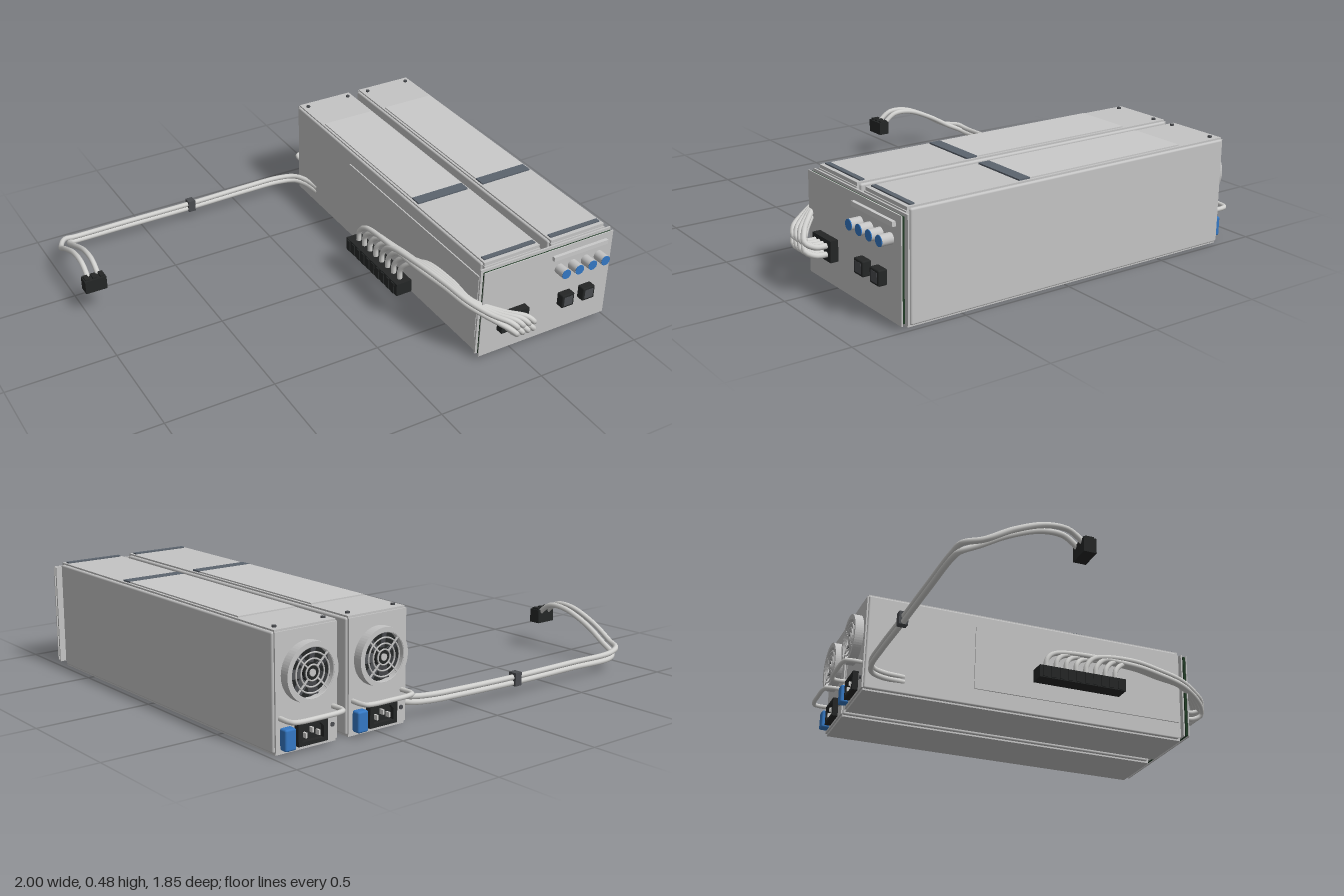
import * as THREE from 'three';
import { RoundedBoxGeometry } from 'three/addons/geometries/RoundedBoxGeometry.js';

const mat = (name, color) => Object.assign(new THREE.MeshStandardMaterial({ color }), { name });
const M = {
  metal: mat('case grey', 0xc4c4c4),
  label: mat('panel grey', 0xcacaca),
  wire: mat('wire grey', 0xd0d0ce),
  slate: mat('slate stripe', 0x5c646e),
  dark: mat('dark grey', 0x4a4c50),
  black: mat('black plastic', 0x242626),
  blue: mat('blue', 0x3478c4),
  green: mat('board green', 0x1f3a24),
};

function add(parent, name, geo, m, x = 0, y = 0, z = 0) {
  const mesh = new THREE.Mesh(geo, m);
  mesh.name = name;
  mesh.position.set(x, y, z);
  parent.add(mesh);
  return mesh;
}
const box = (w, h, d) => new THREE.BoxGeometry(w, h, d);
// box given by its extents on each axis
function span(parent, name, m, x0, x1, y0, y1, z0, z1) {
  return add(parent, name, box(x1 - x0, y1 - y0, z1 - z0), m, (x0 + x1) / 2, (y0 + y1) / 2, (z0 + z1) / 2);
}
// cylinder lying along z
const rod = (r, d, n = 32) => new THREE.CylinderGeometry(r, r, d, n).rotateX(Math.PI / 2);
function tube(parent, name, pts, r, m = M.wire, seg = 64) {
  const c = new THREE.CatmullRomCurve3(pts.map(p => new THREE.Vector3(...p)), false, 'centripetal');
  return add(parent, name, new THREE.TubeGeometry(c, seg, r, 10), m);
}

// round fan with wire guard, facing -z
function fan() {
  const g = new THREE.Group();
  g.name = 'fan';
  const ring = new THREE.Shape().absarc(0, 0, 0.117, 0, Math.PI * 2);
  ring.holes.push(new THREE.Path().absarc(0, 0, 0.098, 0, Math.PI * 2));
  add(g, 'fanRim', new THREE.ExtrudeGeometry(ring, { depth: 0.04, bevelEnabled: false, curveSegments: 32 }), M.metal, 0, 0, -0.04);
  add(g, 'fanWell', rod(0.1, 0.008), M.black, 0, 0, -0.004);
  add(g, 'fanHub', rod(0.036, 0.026), M.black, 0, 0, -0.017);
  for (let i = 0; i < 7; i++) {
    const pivot = new THREE.Group();
    pivot.name = 'fanBladePivot';
    pivot.rotation.z = i * Math.PI * 2 / 7;
    add(pivot, 'fanBlade', box(0.058, 0.036, 0.003), M.dark, 0.063, 0, -0.016).rotation.x = 0.45;
    g.add(pivot);
  }
  for (const r of [0.03, 0.053, 0.076, 0.098]) add(g, 'guardRing', new THREE.TorusGeometry(r, 0.0035, 6, 40), M.metal, 0, 0, -0.036);
  for (let i = 0; i < 4; i++) {
    const a = Math.PI / 4 + i * Math.PI / 2;
    add(g, 'guardSpoke', box(0.075, 0.006, 0.005), M.metal, Math.cos(a) * 0.067, Math.sin(a) * 0.067, -0.036).rotation.z = a;
  }
  add(g, 'guardCap', rod(0.014, 0.005, 20), M.metal, 0, 0, -0.036);
  return g;
}

// one power unit, centred on its own x
function powerUnit() {
  const g = new THREE.Group();
  g.name = 'powerUnit';
  add(g, 'case', new RoundedBoxGeometry(0.3, 0.455, 1.57, 3, 0.008), M.metal, 0, 0.2355, -0.05);
  span(g, 'topLid', M.metal, -0.14, 0.14, 0.455, 0.47, -0.835, 0.745);
  span(g, 'bottomLid', M.metal, -0.14, 0.14, 0, 0.02, -0.835, 0.745);
  span(g, 'frontFrame', M.metal, -0.142, 0.142, 0.02, 0.455, 0.73, 0.75);
  span(g, 'backFrame', M.metal, -0.142, 0.142, 0.012, 0.462, -0.842, -0.83);
  // top panel, stripes and screws
  span(g, 'topPanel', M.label, -0.13, 0.13, 0.47, 0.4755, -0.6, 0.178);
  span(g, 'wideStripe', M.slate, -0.13, 0.13, 0.47, 0.4765, 0.178, 0.23);
  span(g, 'narrowStripe', M.slate, -0.13, 0.13, 0.47, 0.4755, 0.705, 0.727);
  for (const x of [-0.112, 0.112])
    add(g, 'screw', new THREE.CylinderGeometry(0.009, 0.009, 0.008, 12), M.dark, x, 0.473, -0.797);
  // back face
  const f = fan();
  f.position.set(0, 0.298, -0.842);
  g.add(f);
  tube(g, 'handle', [[-0.122, 0.14, -0.835], [-0.122, 0.14, -0.89], [-0.113, 0.14, -0.912], [-0.085, 0.14, -0.921],
    [0, 0.14, -0.923], [0.085, 0.14, -0.921], [0.113, 0.14, -0.912], [0.122, 0.14, -0.89], [0.122, 0.14, -0.835]], 0.01, M.wire, 48);
  add(g, 'rockerSwitch', new RoundedBoxGeometry(0.05, 0.085, 0.04, 2, 0.008), M.blue, 0.1, 0.062, -0.86);
  // mains inlet: frame, well and pins
  const frame = new THREE.Shape([[-0.068, -0.045], [0.068, -0.045], [0.068, 0.045], [-0.068, 0.045]].map(p => new THREE.Vector2(...p)));
  frame.holes.push(new THREE.Path([[-0.05, -0.03], [-0.05, 0.014], [-0.034, 0.03], [0.034, 0.03], [0.05, 0.014], [0.05, -0.03]].map(p => new THREE.Vector2(...p))));
  add(g, 'inletFrame', new THREE.ExtrudeGeometry(frame, { depth: 0.026, bevelEnabled: false }), M.black, -0.01, 0.068, -0.868);
  span(g, 'inletWell', M.black, -0.075, 0.055, 0.026, 0.11, -0.848, -0.842);
  for (const [x, y] of [[-0.04, 0.06], [-0.01, 0.076], [0.02, 0.06]]) add(g, 'inletPin', box(0.008, 0.02, 0.02), M.wire, x, y, -0.857);
  add(g, 'backScrew', rod(0.009, 0.006, 12), M.dark, -0.118, 0.07, -0.844);
  return g;
}

function frontBoard() {
  const g = new THREE.Group();
  g.name = 'frontBoard';
  span(g, 'mountPlate', M.metal, 0.326, 1, 0.02, 0.45, 0.752, 0.76);
  span(g, 'circuitBoard', M.green, 0.332, 0.99, 0.028, 0.443, 0.768, 0.78);
  span(g, 'boardFace', M.metal, 0.327, 0.995, 0.021, 0.449, 0.78, 0.785);
  for (const x of [0.36, 0.66, 0.96]) for (const y of [0.06, 0.41]) add(g, 'spacer', rod(0.01, 0.012, 12), M.metal, x, y, 0.763);
  span(g, 'terminalBar', M.label, 0.675, 0.96, 0.4, 0.42, 0.785, 0.8);
  for (let i = 0; i < 4; i++) {
    const x = 0.717 + i * 0.0695;
    add(g, 'capacitor', rod(0.023, 0.05, 24), M.metal, x, 0.345, 0.81);
    add(g, 'capacitorFace', rod(0.0225, 0.004, 24), M.blue, x, 0.345, 0.836);
  }
  for (const x of [0.757, 0.868]) {
    add(g, 'socket', new RoundedBoxGeometry(0.064, 0.064, 0.04, 2, 0.006), M.black, x, 0.185, 0.803);
    span(g, 'socketFace', M.dark, x - 0.022, x + 0.022, 0.163, 0.207, 0.821, 0.824);
  }
  span(g, 'cableSocket', M.black, 0.412, 0.55, 0.133, 0.222, 0.785, 0.82);
  return g;
}

// looped cable from the front board to the long side plug
function mainCable() {
  const g = new THREE.Group();
  g.name = 'mainCable';
  for (let i = 0; i < 8; i++) {
    const u = i % 4, v = Math.floor(i / 4);
    const x = 0.435 + u * 0.028, y = 0.16 + v * 0.035;
    const o = (u - 1.5) * 0.011, p = (v - 0.5) * 0.022;
    const z = -0.02 + i * 0.05;
    tube(g, 'mainWire', [
      [x, y, 0.81], [x, y + 0.005, 0.87], [x - 0.012, y + 0.028, 0.908], [x - 0.04, y + 0.055, 0.895],
      [0.345 + u * 0.018, 0.255 + p, 0.835], [0.3 + o * 0.5, 0.28 + p, 0.735], [0.28 + o, 0.3 + p, 0.6],
      [0.25 + o, 0.31 + p, 0.43 + u * 0.005], [0.225 + o * 0.4, 0.285 + p * 0.5, z + 0.05],
      [0.212, 0.24, z + 0.006], [0.212, 0.185, z]], 0.012, M.wire, 80);
  }
  span(g, 'longPlug', M.black, 0.173, 0.25, 0.13, 0.19, -0.065, 0.37);
  span(g, 'plugLatch', M.black, 0.25, 0.266, 0.14, 0.183, 0.12, 0.195);
  for (let i = 0; i < 10; i++) span(g, 'plugRib', M.black, 0.168, 0.174, 0.134, 0.186, -0.05 + i * 0.042, -0.028 + i * 0.042);
  return g;
}

// long thin cable leaving the side near the back
function sideCable() {
  const g = new THREE.Group();
  g.name = 'sideCable';
  for (const s of [-1, 1]) {
    const y = 0.067 + s * 0.012, ex = -0.947 - s * 0.024;
    tube(g, 'sideWire', [
      [0.35, y + 0.012, -0.65], [0.335, y + 0.012, -0.75], [0.3, y + 0.012, -0.81], [0.22, y + 0.01, -0.838], [0.05, y + 0.006, -0.846],
      [-0.26, y, -0.847], [-0.6, y, -0.847], [-0.86, y, -0.845], [-0.905 - s * 0.012, y + 0.012, -0.83],
      [ex + 0.012, 0.1, -0.76], [ex, 0.16, -0.65], [ex, 0.21, -0.52], [ex, 0.212, -0.43], [ex, 0.185, -0.385], [ex, 0.155, -0.355]], 0.012, M.wire, 140);
  }
  span(g, 'cableTie', M.dark, -0.275, -0.24, 0.043, 0.1, -0.867, -0.828);
  span(g, 'endPlug', M.black, -1, -0.9, 0.118, 0.18, -0.378, -0.325);
  for (const x of [-0.985, -0.95, -0.915]) span(g, 'endPlugRib', M.black, x - 0.01, x + 0.01, 0.122, 0.188, -0.37, -0.333);
  return g;
}

export function createModel() {
  const model = new THREE.Group();
  model.name = 'powerSupply';
  for (const x of [0.492, 0.832]) {
    const unit = powerUnit();
    unit.position.x = x;
    model.add(unit);
  }
  span(model, 'sidePanel', M.metal, 0.336, 0.343, 0.09, 0.4, -0.32, 0.735);
  model.add(frontBoard(), mainCable(), sideCable());
  return model;
}
